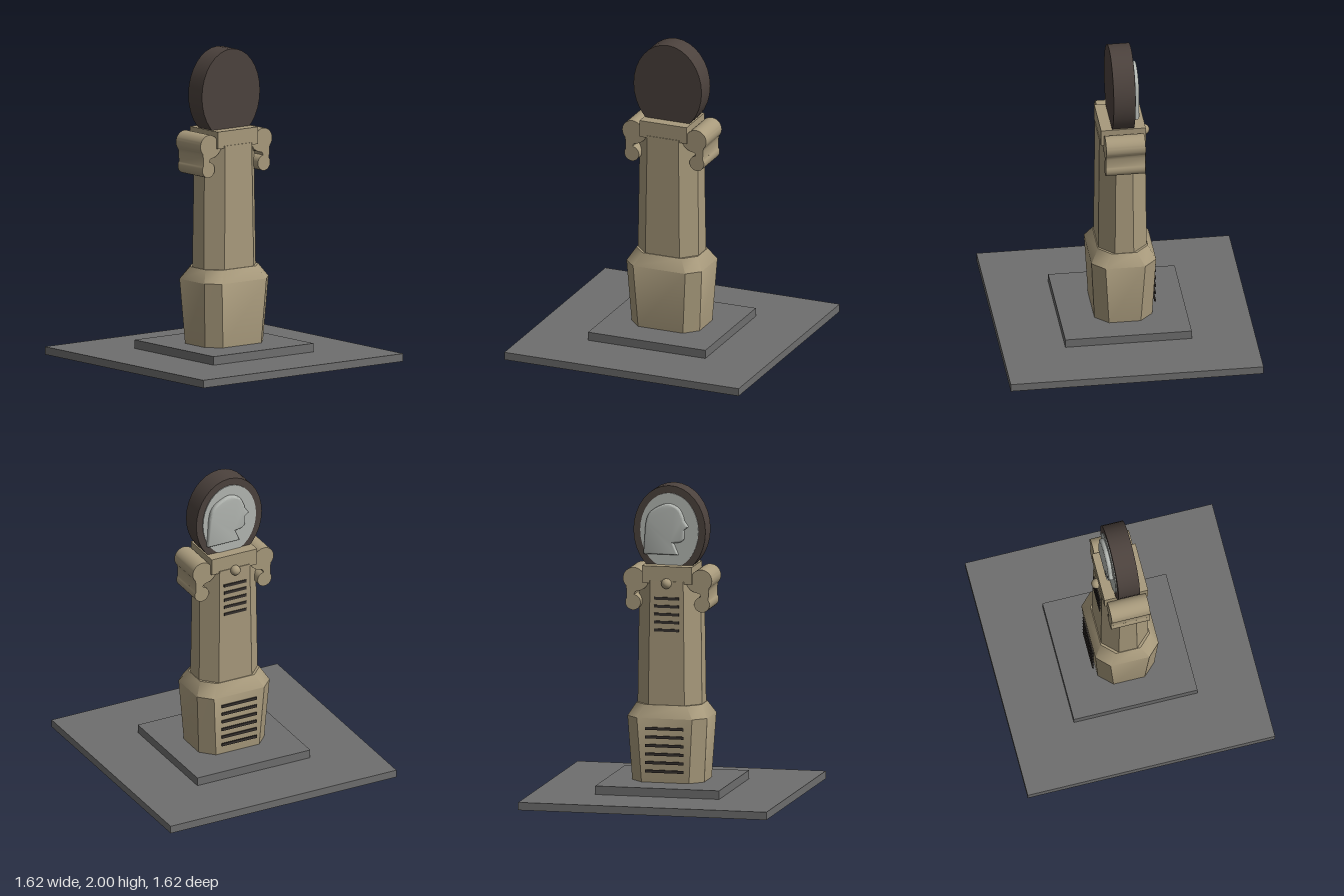
import * as THREE from 'three';
import { toCreasedNormals } from 'three/addons/utils/BufferGeometryUtils.js';

const mat = (name, color) => {
  const m = new THREE.MeshStandardMaterial({ color });
  m.name = name;
  return m;
};

// Chamfered-rectangle loft; each section is [y, halfX, flatX, halfZ, flatZ]
function loft(sections) {
  const rings = sections.map(([y, X, fx, Z, fz]) => [
    [fx, y, Z], [X, y, fz], [X, y, -fz], [fx, y, -Z],
    [-fx, y, -Z], [-X, y, -fz], [-X, y, fz], [-fx, y, Z],
  ]);
  const pos = [];
  const tri = (a, b, c) => pos.push(...a, ...b, ...c);
  for (let r = 0; r < rings.length - 1; r++) {
    for (let i = 0; i < 8; i++) {
      const j = (i + 1) % 8, lo = rings[r], hi = rings[r + 1];
      tri(lo[i], lo[j], hi[j]);
      tri(lo[i], hi[j], hi[i]);
    }
  }
  const bottom = rings[0], top = rings[rings.length - 1];
  for (let i = 1; i < 7; i++) {
    tri(top[0], top[i], top[i + 1]);
    tri(bottom[0], bottom[i + 1], bottom[i]);
  }
  const g = new THREE.BufferGeometry();
  g.setAttribute('position', new THREE.Float32BufferAttribute(pos, 3));
  return toCreasedNormals(g, 0.7);
}

// Elliptical disc facing z
function disc(rx, ry, depth) {
  return new THREE.CylinderGeometry(1, 1, depth, 32).rotateX(Math.PI / 2).scale(rx, ry, 1);
}

export function createModel() {
  const stone = mat('tan stone', 0xa89a7c);
  const slab = mat('grey slab', 0x6e6e6e);
  const bronze = mat('dark brown', 0x4c423d);
  const silver = mat('silver', 0xb4b8b3);
  const dark = mat('vent dark', 0x35302d);

  const model = new THREE.Group();
  model.name = 'monument';
  const add = (name, geometry, material, x = 0, y = 0, z = 0, parent = model) => {
    const m = new THREE.Mesh(geometry, material);
    m.name = name;
    m.position.set(x, y, z);
    parent.add(m);
    return m;
  };

  // Stepped base
  add('lowerSlab', new THREE.BoxGeometry(1.62, 0.05, 1.62), slab, 0, 0.025, 0);
  add('upperSlab', new THREE.BoxGeometry(0.81, 0.055, 0.81), slab, 0, 0.0775, 0);

  // Flared pedestal with sloping shoulder, then the tapering shaft
  add('pedestal', loft([
    [0.105, 0.235, 0.155, 0.185, 0.102],
    [0.52, 0.26, 0.18, 0.207, 0.127],
    [0.6, 0.213, 0.133, 0.16, 0.08],
  ]), stone);
  add('shaft', loft([
    [0.595, 0.21, 0.118, 0.155, 0.06],
    [1.395, 0.2, 0.108, 0.147, 0.052],
  ]), stone);
  add('capitalBlock', new THREE.BoxGeometry(0.325, 0.11, 0.286), stone, 0, 1.435, 0);

  // Scroll brackets on both sides
  const s = new THREE.Shape();
  s.moveTo(0.1, 1.43);
  s.lineTo(0.157, 1.43);
  s.absarc(0.22, 1.404, 0.07, 2.76, -0.75, true);
  s.lineTo(0.268, 1.335);
  s.lineTo(0.266, 1.278);
  s.absarc(0.225, 1.25, 0.05, 0.6, -4.2, true);
  s.lineTo(0.217, 1.3);
  s.quadraticCurveTo(0.215, 1.32, 0.2, 1.322);
  s.quadraticCurveTo(0.14, 1.33, 0.12, 1.39);
  s.lineTo(0.1, 1.39);
  const scroll = toCreasedNormals(
    new THREE.ExtrudeGeometry(s, { depth: 0.252, bevelEnabled: false, curveSegments: 14 }).translate(0, 0, -0.126), 0.6);
  add('leftScroll', scroll, stone);
  add('rightScroll', scroll, stone).rotation.y = Math.PI;

  // Oval medallion with a silver back face
  const medallion = new THREE.Group();
  medallion.name = 'medallion';
  medallion.position.y = 1.71;
  model.add(medallion);
  add('medallionBody', disc(0.235, 0.29, 0.14), bronze, 0, 0, 0.001, medallion);
  add('medallionFace', disc(0.19, 0.243, 0.009), silver, 0, 0, -0.071, medallion);

  // Raised head in profile on the back
  const h = new THREE.Shape();
  h.moveTo(-0.165, -0.152);
  h.lineTo(-0.152, 0.04);
  h.splineThru([[-0.135, 0.1], [-0.09, 0.145], [-0.01, 0.176], [0.06, 0.152], [0.092, 0.1], [0.1, 0.07]]
    .map(p => new THREE.Vector2(...p)));
  h.lineTo(0.127, 0.03);
  h.lineTo(0.098, 0.008);
  h.lineTo(0.1, -0.045);
  h.quadraticCurveTo(0.09, -0.075, 0.03, -0.077);
  h.lineTo(0.062, -0.152);
  const relief = new THREE.ExtrudeGeometry(h, {
    depth: 0.014, bevelThickness: 0.013, bevelSize: 0.013, bevelOffset: -0.013, bevelSegments: 3, curveSegments: 18,
  });
  add('profileRelief', toCreasedNormals(relief, 0.7), silver, 0, 0, -0.076, medallion).rotation.y = Math.PI;

  // Knob above the vents
  add('knob', new THREE.SphereGeometry(0.033, 16, 12), stone, 0, 1.382, -0.155);

  // Vent slats on the back
  for (let i = 0; i < 5; i++) {
    add('upperVent', new THREE.BoxGeometry(0.16, 0.018, 0.009), dark, 0, 1.285 - i * 0.051, -0.151);
  }
  for (let i = 0; i < 6; i++) {
    add('lowerVent', new THREE.BoxGeometry(0.25, 0.018, 0.009), dark, 0, 0.455 - i * 0.055, -0.208);
  }
  return model;
}
